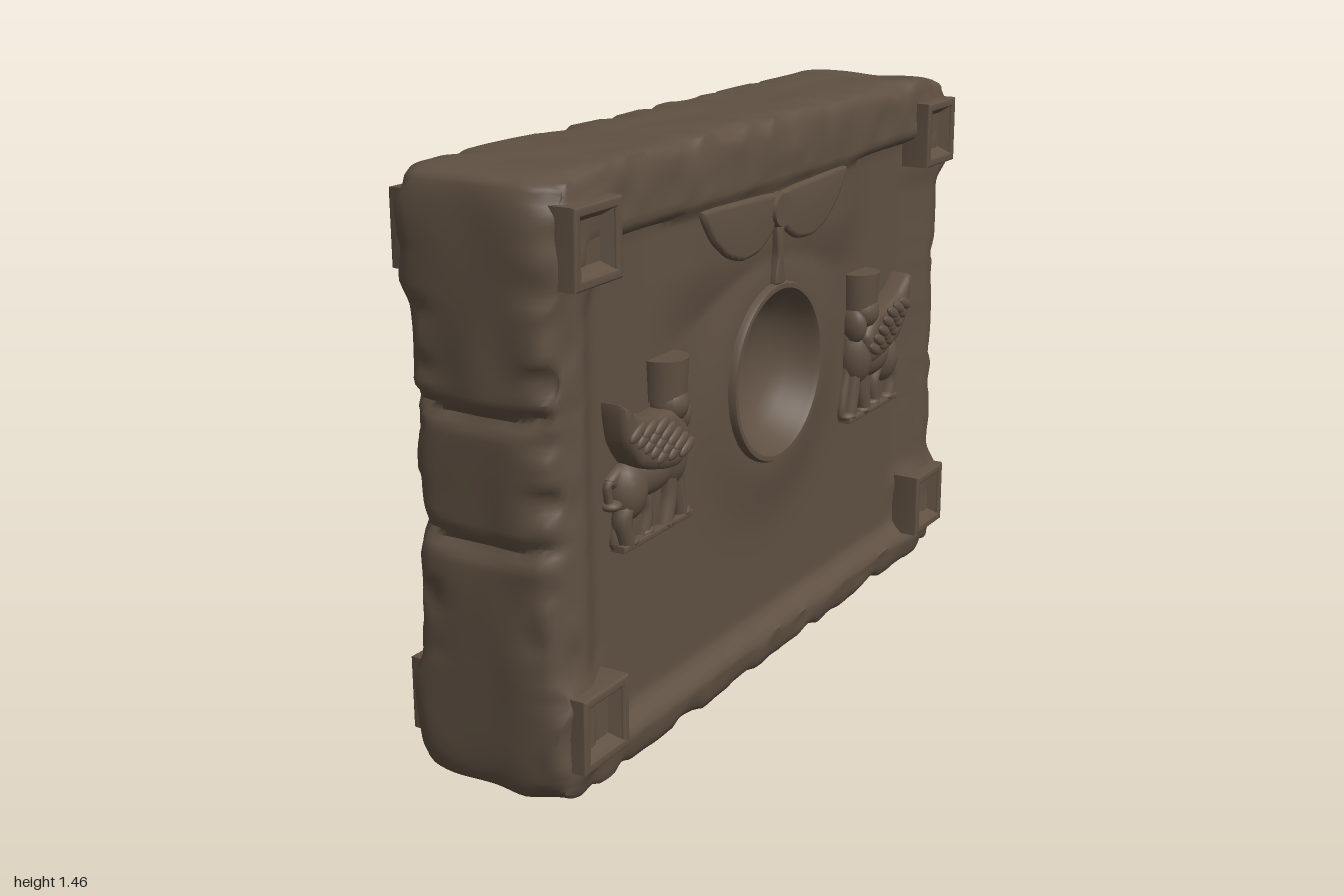
import * as THREE from 'three';
import { mergeVertices, toCreasedNormals } from 'three/addons/utils/BufferGeometryUtils.js';

const stone = new THREE.MeshStandardMaterial({ color: 0x5f5042, side: THREE.DoubleSide });
stone.name = 'brown stone';

const MID = 0.725;
const clamp = (v) => Math.min(1, Math.max(0, v));
const smooth = (v) => { v = clamp(v); return v * v * (3 - 2 * v); };

// seeded value noise, 0..1
function hash(i, j, k) {
  const s = Math.sin(i * 127.1 + j * 311.7 + k * 74.7) * 43758.5453;
  return s - Math.floor(s);
}
function noise(x, y, z) {
  const i = Math.floor(x), j = Math.floor(y), k = Math.floor(z);
  const u = smooth(x - i), v = smooth(y - j), w = smooth(z - k);
  let sum = 0;
  for (let a = 0; a < 2; a++) for (let b = 0; b < 2; b++) for (let c = 0; c < 2; c++) {
    sum += hash(i + a, j + b, k + c) * (a ? u : 1 - u) * (b ? v : 1 - v) * (c ? w : 1 - w);
  }
  return sum;
}

function add(parent, name, geometry) {
  const mesh = new THREE.Mesh(geometry, stone);
  mesh.name = name;
  parent.add(mesh);
  return mesh;
}

// Raised shape on the +x face: u runs towards -z, v is up
function relief(shape, x0, x1, bevel = 0.012) {
  const g = new THREE.ExtrudeGeometry(shape, {
    depth: x1 - x0 - bevel, bevelEnabled: true, bevelThickness: bevel,
    bevelSize: bevel, bevelOffset: -bevel, bevelSegments: 3, curveSegments: 8,
  });
  g.rotateY(Math.PI / 2).translate(x0, 0, 0);
  return toCreasedNormals(g, 0.7);
}
const curved = (pts) => new THREE.Shape(
  new THREE.CatmullRomCurve3(pts.map(([u, v]) => new THREE.Vector3(u, v, 0)), true, 'catmullrom', 0.3)
    .getPoints(pts.length * 5).slice(0, -1).map((p) => new THREE.Vector2(p.x, p.y)));
const rect = (Type, u0, v0, u1, v1) => new Type(
  [[u0, v0], [u1, v0], [u1, v1], [u0, v1]].map(([u, v]) => new THREE.Vector2(u, v)));

// Depth of the sunken floor: on the carved side it swells around the bowl and emblem
function floorDepth(carved, y, z) {
  if (!carved) return 0.176;
  const r = Math.hypot(z, y - 0.795);
  if (r < 0.215) return 0.03;
  const emblem = smooth((y - 0.95) / 0.2) * smooth((0.6 - Math.abs(z)) / 0.25);
  return 0.16 + 0.026 * Math.max(Math.exp(-(((r - 0.235) / 0.13) ** 2)), emblem);
}

// Weathered slab with a shallow sunken panel on both broad sides
function slabGeometry() {
  let g = new THREE.BoxGeometry(0.4, 1.45, 2, 20, 88, 120);
  g.deleteAttribute('normal');
  g.deleteAttribute('uv');
  g = mergeVertices(g, 1e-4);
  const p = g.attributes.position;
  for (let n = 0; n < p.count; n++) {
    const x = p.getX(n) / 0.2, yn = p.getY(n) / MID, z = p.getZ(n);
    const y = p.getY(n) + MID;
    const ax = Math.abs(x), ay = Math.abs(yn), az = Math.abs(z);

    // sunken panels, with a crisp upper ledge on the carved side
    const carved = x > 0;
    const q = Math.max((az - 0.77) / 0.14, carved ? (y - 1.265) / 0.03 : (y - 1.28) / 0.1, (0.14 - y) / 0.07);
    const floor = floorDepth(carved, y, z);
    let half = floor + (0.208 - floor) * smooth(q);
    half -= smooth((q - 0.8) * 3) * 0.009 * noise(x * 2, y * 14, z * 14);

    // rounded long edges, and swollen rock around the corner blocks
    const corner = smooth((az - 0.72) / 0.1) * smooth((Math.abs(y - MID) - 0.4) / 0.08);
    half -= (1 - corner) * 0.028 * Math.max(Math.pow(az, 22), 0.6 * Math.pow(ay, 26));
    half -= corner * 0.01 * Math.max(Math.pow(az, 40), Math.pow(ay, 40));
    half += 0.017 * corner * (1 - smooth((ay - 0.89) / 0.07)) * noise(x + 7, y * 11, z * 11);

    // chipped outer edges
    const edge = Math.pow(ax, 5);
    const chip = clamp(noise(x * 1.5 + 9, y * 15, z * 15) * 2.6 - 1.25);
    const roll = 0.012 * Math.pow(ax, 10);
    const wave = 0.012 * noise(x * 2 + 4, y * 6, z * 6);
    let cutZ = roll + wave + edge * chip * 0.038 + 0.02 * Math.pow(ay, 14);
    const cutY = roll * 0.6 + wave * 0.7 + edge * chip * 0.024 + 0.025 * Math.pow(az, 16);

    // curved grooves and sunken band on the two narrow ends
    const bend = 0.025 * x * x;
    for (const gy of [0.605, 0.905]) cutZ += 0.024 * Math.exp(-(((y - gy - bend) / 0.02) ** 2));
    cutZ += 0.006 * smooth((y - 0.6 - bend) / 0.04) * smooth((0.92 + bend - y) / 0.04);

    // worn hollows on the top near the back, and under the base
    const dent = yn > 0 ? 0.02 * Math.exp(-((x / 0.5) ** 2 + ((z + 0.87) / 0.06) ** 2))
      : 0.03 * Math.exp(-((x / 0.4) ** 2 + (z / 0.07) ** 2));
    p.setXYZ(n, x * half,
      y - Math.sign(yn) * Math.pow(ay, 12) * (cutY + dent - 0.004),
      z - Math.sign(z) * Math.pow(az, 14) * (cutZ - 0.006));
  }
  g.computeVertexNormals();
  return toCreasedNormals(g, 0.9);
}

// Hollow square block at a corner, on the +x side
function cornerBlock(u, v) {
  const block = new THREE.Group();
  block.name = 'cornerBlock';
  const h = 0.09;
  const outline = rect(THREE.Shape, u - h, v - h, u + h, v + h);
  const t = h - 0.024;
  outline.holes.push(rect(THREE.Path, u - t, v - t, u + t, v + t));
  add(block, 'blockRim', relief(outline, 0.1, 0.245, 0.006));
  const slopes = new THREE.CylinderGeometry(0.068 * Math.SQRT2, 0.048 * Math.SQRT2, 0.03, 4, 1, true);
  slopes.rotateY(Math.PI / 4).rotateZ(-Math.PI / 2).translate(0.226, v, -u);
  add(block, 'blockSlopes', toCreasedNormals(slopes, 0.3));
  add(block, 'blockFloor', new THREE.BoxGeometry(0.1, 0.13, 0.13).translate(0.162, v, -u));
  return block;
}

function blob(parent, name, u, v, ru, rv, rx, x = 0.165, tilt = 0) {
  const g = new THREE.SphereGeometry(1, 18, 12).scale(rx, rv, ru).rotateX(tilt);
  add(parent, name, g.translate(x, v, -u));
}
function limb(parent, name, pts, r, x) {
  const path = new THREE.CatmullRomCurve3(pts.map(([u, v]) => new THREE.Vector3(x, v, -u)));
  add(parent, name, new THREE.TubeGeometry(path, 10, r, 8, false));
  const [u, v] = pts[pts.length - 1];
  blob(parent, name + 'Foot', u + 0.008, v + 0.006, 0.028, 0.014, 0.026, x);
}

// Winged beast in relief, facing the middle
function wingedBeast() {
  const beast = new THREE.Group();
  beast.name = 'wingedBeast';
  add(beast, 'beastBacking', relief(curved([[-0.72, 0.545], [-0.7, 0.66], [-0.74, 0.72], [-0.64, 0.76],
    [-0.56, 0.8], [-0.45, 0.8], [-0.44, 0.68], [-0.42, 0.545]]), 0.14, 0.178));
  blob(beast, 'torso', -0.58, 0.7, 0.12, 0.062, 0.048);
  blob(beast, 'haunch', -0.665, 0.675, 0.06, 0.075, 0.05);
  blob(beast, 'chest', -0.495, 0.72, 0.058, 0.09, 0.055);
  limb(beast, 'hindLeg', [[-0.66, 0.67], [-0.7, 0.62], [-0.685, 0.55]], 0.025, 0.178);
  limb(beast, 'farHindLeg', [[-0.64, 0.67], [-0.6, 0.62], [-0.61, 0.55]], 0.022, 0.172);
  limb(beast, 'foreLeg', [[-0.51, 0.7], [-0.51, 0.62], [-0.53, 0.55]], 0.025, 0.18);
  limb(beast, 'farForeLeg', [[-0.48, 0.7], [-0.465, 0.62], [-0.45, 0.55]], 0.024, 0.175);
  limb(beast, 'tail', [[-0.7, 0.7], [-0.74, 0.71], [-0.735, 0.65]], 0.011, 0.167);
  add(beast, 'base', relief(rect(THREE.Shape, -0.72, 0.54, -0.42, 0.556), 0.14, 0.198, 0.004));
  // wing with low layered feathers
  add(beast, 'wing', relief(curved([[-0.75, 0.905], [-0.68, 0.865], [-0.6, 0.84], [-0.535, 0.84], [-0.47, 0.78],
    [-0.5, 0.7], [-0.58, 0.705], [-0.68, 0.74], [-0.735, 0.81]]), 0.15, 0.225, 0.022));
  for (let row = 0; row < 3; row++) for (let i = 0; i < 5; i++) {
    const s = i / 4;
    blob(beast, 'feather', -0.7 + 0.045 * row + s * 0.11, 0.83 - 0.004 * row - s * 0.08,
      0.035, 0.015, 0.01, 0.223 + row * 0.003, 0.45);
  }
  // head, beard and tall crown
  blob(beast, 'head', -0.505, 0.845, 0.05, 0.052, 0.052, 0.18);
  blob(beast, 'beard', -0.465, 0.81, 0.026, 0.05, 0.04, 0.178);
  const crown = new THREE.CylinderGeometry(0.06, 0.054, 0.1, 20);
  add(beast, 'crown', toCreasedNormals(crown.translate(0.17, 0.905, 0.505), 0.7));
  return beast;
}

// Winged emblem above the bowl
function wingedEmblem() {
  const emblem = new THREE.Group();
  emblem.name = 'wingedEmblem';
  for (const s of [1, -1]) {
    add(emblem, 'emblemWing', relief(curved([[0, 1.255], [0.2 * s, 1.268], [0.37 * s, 1.27], [0.32 * s, 1.19],
      [0.25 * s, 1.14], [0.18 * s, 1.118], [0.1 * s, 1.125], [0.03 * s, 1.165]]), 0.16, 0.2));
  }
  const disc = new THREE.CylinderGeometry(0.042, 0.052, 0.06, 24).rotateZ(-Math.PI / 2);
  add(emblem, 'emblemDisc', toCreasedNormals(disc.translate(0.18, 1.215, 0), 0.7));
  add(emblem, 'emblemStem', relief(curved([[-0.018, 1.18], [0.018, 1.18], [0.012, 1.1], [0.024, 1.03],
    [-0.024, 1.03], [-0.012, 1.1]]), 0.16, 0.204, 0.006));
  return emblem;
}

export function createModel() {
  const model = new THREE.Group();
  model.name = 'carvedStoneSlab';
  add(model, 'slab', slabGeometry());

  // corner blocks on both broad sides
  for (const side of [1, -1]) {
    const set = new THREE.Group();
    set.name = side > 0 ? 'carvedSideBlocks' : 'plainSideBlocks';
    for (const u of [-0.87, 0.87]) for (const v of [0.19, 1.295]) set.add(cornerBlock(u, v));
    if (side < 0) set.rotation.y = Math.PI;
    model.add(set);
  }

  // round bowl with a raised rim
  const profile = [[0.235, 0.12], [0.235, 0.195], [0.23, 0.205], [0.218, 0.205], [0.21, 0.193], [0.2, 0.17],
    [0.17, 0.13], [0.13, 0.1], [0.07, 0.08], [0, 0.072]].map(([r, h]) => new THREE.Vector2(r, h));
  const bowl = new THREE.LatheGeometry(profile, 56).rotateZ(-Math.PI / 2).translate(0, 0.795, 0);
  add(model, 'bowl', toCreasedNormals(bowl, 0.6));

  model.add(wingedEmblem());
  const beast = wingedBeast();
  const mirrored = wingedBeast();
  mirrored.scale.z = -1;
  model.add(beast, mirrored);
  return model;
}
